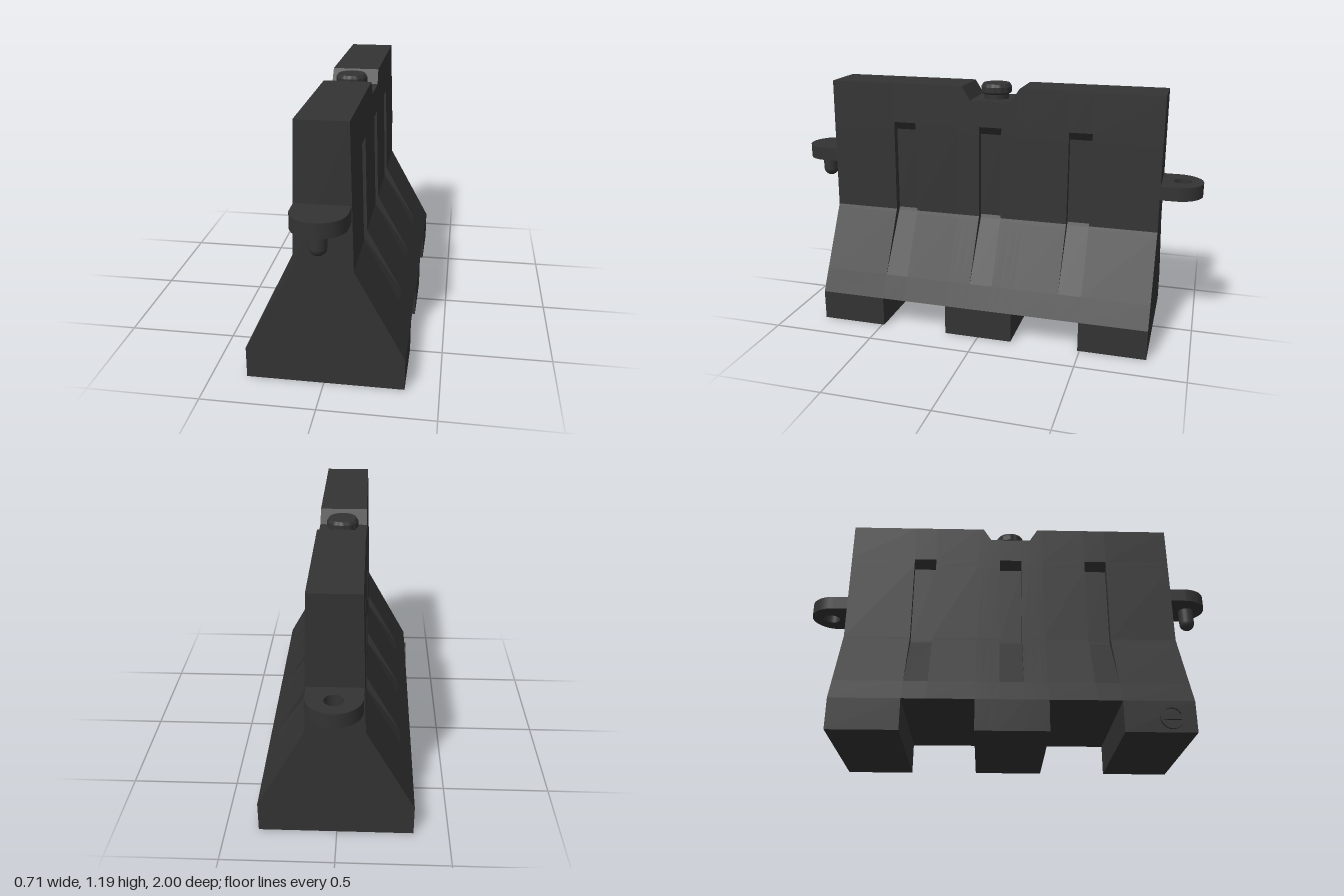
import * as THREE from 'three';

const dark = new THREE.MeshStandardMaterial({ color: 0x333333 });

const LENGTH = 0.81, FOOT = 0.145, NOTCH_IN = 0.165, NOTCH_OUT = 0.49;
const GROOVES = [-0.435, 0, 0.435], GROOVE_HALF = 0.055;

// piecewise linear interpolation through [key, value] pairs
function lerpTable(table, t) {
  for (let i = 1; i < table.length; i++) {
    const [a, va] = table[i - 1], [b, vb] = table[i];
    if (t <= b) return va + (vb - va) * Math.max(0, (t - a) / (b - a));
  }
  return table[table.length - 1][1];
}
const halfWidth = y => lerpTable([[0, 0.347], [FOOT, 0.347], [0.545, 0.127], [1.18, 0.111]], y);
const grooveDepth = y => lerpTable([[0.25, 0], [0.53, 0.038], [0.95, 0.036], [0.99, 0]], y);
const topHeight = z => lerpTable([[0.1, 1.115], [0.14, 1.18]], Math.abs(z));

// barrier body: strips along z, with sunken grooves, foot notches and a dip in the top
function bodyGeometry() {
  const pos = [];
  const quad = (a, b, c, d) => pos.push(...a, ...b, ...c, ...a, ...c, ...d);
  const bothSides = (...pts) => {
    quad(...pts);
    quad(...pts.map(([x, y, z]) => [-x, y, z]).reverse());
  };
  const levels = [0, FOOT, 0.25, 0.53, 0.545, 0.95, 0.99];
  const positive = [0.055, 0.1, 0.14, NOTCH_IN, 0.38, NOTCH_OUT, LENGTH];
  const zs = [...positive.map(z => -z).reverse(), ...positive];

  for (let i = 0; i < zs.length - 1; i++) {
    const z0 = zs[i], z1 = zs[i + 1], mid = (z0 + z1) / 2, m = Math.abs(mid);
    const notched = m > NOTCH_IN && m < NOTCH_OUT;
    const grooved = GROOVES.some(g => Math.abs(mid - g) < GROOVE_HALF);
    const ys = levels.slice(notched ? 1 : 0);
    const floor = y => halfWidth(y) - (grooved ? grooveDepth(y) : 0);
    for (let k = 0; k < ys.length; k++) {
      const y0 = ys[k];
      const last = k === ys.length - 1;
      const ya = last ? topHeight(z0) : ys[k + 1], yb = last ? topHeight(z1) : ys[k + 1];
      bothSides([floor(y0), y0, z1], [floor(y0), y0, z0], [floor(ya), ya, z0], [floor(yb), yb, z1]);
      // groove side walls
      if (grooved && y0 >= 0.25 && !last) {
        const wall = z => [[floor(y0), y0, z], [halfWidth(y0), y0, z], [halfWidth(ya), ya, z], [floor(ya), ya, z]];
        bothSides(...wall(z0));
        bothSides(...wall(z1).reverse());
      }
    }
    // top and underside
    const t0 = topHeight(z0), t1 = topHeight(z1), w0 = halfWidth(t0), w1 = halfWidth(t1);
    quad([-w1, t1, z1], [w1, t1, z1], [w0, t0, z0], [-w0, t0, z0]);
    const yb = ys[0], wb = halfWidth(yb);
    quad([-wb, yb, z0], [wb, yb, z0], [wb, yb, z1], [-wb, yb, z1]);
  }

  // end faces and notch walls
  const crossFace = (z, facing, ys) => {
    for (let k = 0; k < ys.length - 1; k++) {
      const [a, b] = [ys[k], ys[k + 1]], wa = halfWidth(a), wb = halfWidth(b);
      const pts = [[-wa, a, z], [wa, a, z], [wb, b, z], [-wb, b, z]];
      quad(...(facing > 0 ? pts : pts.reverse()));
    }
  };
  for (const s of [1, -1]) {
    crossFace(s * LENGTH, s, [0, FOOT, 0.545, 1.18]);
    crossFace(s * NOTCH_IN, s, [0, FOOT]);
    crossFace(-s * NOTCH_OUT, s, [0, FOOT]);
  }
  const geo = new THREE.BufferGeometry();
  geo.setAttribute('position', new THREE.Float32BufferAttribute(pos, 3));
  geo.computeVertexNormals();
  return geo;
}

// rounded coupling tongue, lying flat and reaching towards +z
function tongueGeometry(holeRadius) {
  const r = 0.118, shape = new THREE.Shape();
  shape.moveTo(-r, -0.78);
  shape.lineTo(-r, -(1 - r));
  shape.absarc(0, -(1 - r), r, Math.PI, Math.PI * 2, false);
  shape.lineTo(r, -0.78);
  shape.closePath();
  if (holeRadius) shape.holes.push(new THREE.Path().absarc(0, -0.905, holeRadius, 0, Math.PI * 2, true));
  return new THREE.ExtrudeGeometry(shape, { depth: 0.065, bevelEnabled: false, curveSegments: 24 })
    .rotateX(-Math.PI / 2);
}

// filler cap with a scalloped grip
function capGeometry() {
  const profile = [[0, 1.138], [0.064, 1.138], [0.074, 1.146], [0.074, 1.146], [0.074, 1.172],
    [0.074, 1.172], [0.064, 1.187], [0.064, 1.187], [0, 1.187]].map(p => new THREE.Vector2(...p));
  const geo = new THREE.LatheGeometry(profile, 72);
  const p = geo.attributes.position;
  for (let i = 0; i < p.count; i++) {
    const x = p.getX(i), z = p.getZ(i);
    if (Math.hypot(x, z) < 0.07) continue;
    const s = 1 - 0.05 * Math.pow(Math.sin(Math.atan2(z, x) * 6), 4);
    p.setX(i, x * s);
    p.setZ(i, z * s);
  }
  geo.computeVertexNormals();
  return geo;
}

// drain plug: ring with a horizontal grip bar across it
function plugGeometry() {
  const shape = new THREE.Shape().absarc(0, 0, 0.053, 0, Math.PI * 2, false);
  for (const turn of [0, Math.PI]) {
    shape.holes.push(new THREE.Path().absarc(0, 0, 0.042, turn + 0.25, turn + Math.PI - 0.25, false));
  }
  return new THREE.ExtrudeGeometry(shape, { depth: 0.012, bevelEnabled: false, curveSegments: 24 })
    .rotateY(-Math.PI / 2);
}

export function createModel() {
  const model = new THREE.Group();
  const add = (name, geometry, x = 0, y = 0, z = 0) => {
    const mesh = new THREE.Mesh(geometry, dark);
    mesh.name = name;
    mesh.position.set(x, y, z);
    model.add(mesh);
    return mesh;
  };
  const cx = 0.004;

  add('body', bodyGeometry(), cx);

  // couplings: pin at the front, eye at the back
  add('frontTongue', tongueGeometry(0), cx, 0.77);
  add('backTongue', tongueGeometry(0.04), cx, 0.7).rotation.y = Math.PI;
  add('couplingPin', new THREE.CapsuleGeometry(0.037, 0.07, 8, 24), cx, 0.733, 0.91);

  // filler
  add('fillerNeck', new THREE.CylinderGeometry(0.06, 0.06, 0.04, 32), cx, 1.125);
  add('fillerCap', capGeometry(), cx);

  // drain
  add('drainPlug', plugGeometry(), cx - 0.346, 0.068, 0.7);
  return model;
}
